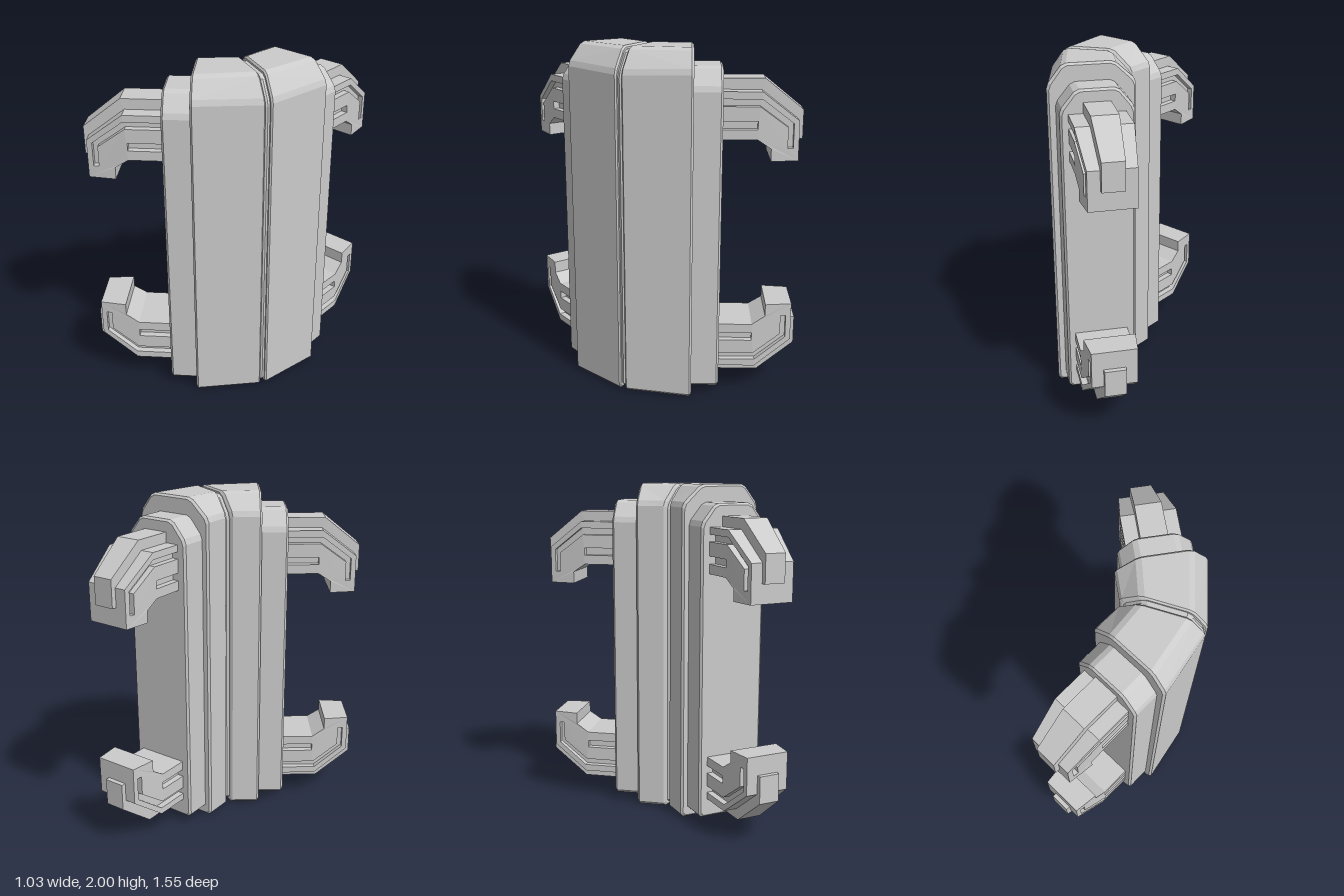
import * as THREE from 'three';

const MID = 0.275; // centre line of the straight wing in x

// Cut every corner of a closed profile back by r
function softened(points, r) {
  const out = [];
  points.forEach(([x, y], i) => {
    for (const [nx, ny] of [points.at(i - 1), points[(i + 1) % points.length]]) {
      const k = r / Math.hypot(nx - x, ny - y);
      out.push([x + (nx - x) * k, y + (ny - y) * k]);
    }
  });
  return out;
}

// Shrink a profile by d on all sides
function inset(points, d) {
  const box = new THREE.Box2().setFromPoints(points.map(([x, y]) => new THREE.Vector2(x, y)));
  const c = box.getCenter(new THREE.Vector2()), s = box.getSize(new THREE.Vector2());
  return points.map(([x, y]) => [c.x + (x - c.x) * (1 - 2 * d / s.x), c.y + (y - c.y) * (1 - 2 * d / s.y)]);
}

// Place a profile on the plane z = z0 + slope * x
const ring = (points, z0, slope = 0) => points.map(([x, y]) => [x, y, z0 + slope * x]);

// Closed solid through counter-clockwise rings that advance along +z
function loft(rings) {
  const pos = [], n = rings[0].length, last = rings.at(-1), first = rings[0];
  for (let i = 0; i + 1 < rings.length; i++) {
    const a = rings[i], b = rings[i + 1];
    for (let j = 0; j < n; j++) {
      const k = (j + 1) % n;
      pos.push(...a[j], ...a[k], ...b[k], ...a[j], ...b[k], ...b[j]);
    }
  }
  for (let j = 1; j + 1 < n; j++) {
    pos.push(...first[0], ...first[j + 1], ...first[j]);
    pos.push(...last[0], ...last[j], ...last[j + 1]);
  }
  const g = new THREE.BufferGeometry();
  g.setAttribute('position', new THREE.Float32BufferAttribute(pos, 3));
  g.computeVertexNormals();
  return g;
}

// Reflected copy with its triangles turned round again
function reflected(geometry, matrix) {
  const g = geometry.clone().applyMatrix4(matrix), p = g.attributes.position;
  const a = new THREE.Vector3(), b = new THREE.Vector3();
  for (let i = 0; i < p.count; i += 3) {
    a.fromBufferAttribute(p, i + 1);
    b.fromBufferAttribute(p, i + 2);
    p.setXYZ(i + 1, b.x, b.y, b.z);
    p.setXYZ(i + 2, a.x, a.y, a.z);
  }
  g.computeVertexNormals();
  return g;
}

// Clip part: side profile (reach, height) given a width, narrowing toward the tip
function clipPart(points, width) {
  const shape = new THREE.Shape(points.map(([d, y]) => new THREE.Vector2(d, y)));
  let g = new THREE.ExtrudeGeometry(shape, { depth: width, bevelEnabled: false });
  g.translate(0, 0, -width / 2).rotateY(Math.PI / 2);
  if (g.index) g = g.toNonIndexed();
  const p = g.attributes.position;
  for (let i = 0; i < p.count; i++) {
    const t = Math.max(0, -p.getZ(i) - 0.54) / 0.21;
    p.setX(i, MID + p.getX(i) * (1 - 0.17 * t));
  }
  g.deleteAttribute('uv');
  g.computeVertexNormals();
  return g;
}

const bar = (y0, y1) => [[0.3, y0], [0.52, y0], [0.52, y1], [0.3, y1]];

function wingParts() {
  // Main body: tall block with bevelled top edges, cut at a slant on the seam
  const end = softened([[0.03, 0.005], [0.52, 0.005], [0.52, 1.885], [0.43, 2], [0.15, 2], [0.03, 1.89]], 0.018);
  const seam = softened([[0.03, 0.005], [0.45, 0.005], [0.45, 1.875], [0.37, 2], [0.13, 2], [0.03, 1.89]], 0.018);
  const body = loft([
    ring(inset(end, 0.012), -0.175), ring(end, -0.163),
    ring(seam, -0.022, 0.5), ring(inset(seam, 0.01), -0.012, 0.5),
  ]);
  const filler = loft([ring(inset(seam, 0.02), -0.03, 0.5), ring(inset(seam, 0.02), 0.005, 0.5)]);

  // Collar: smaller stepped block behind the body
  const step = softened([[0.07, 0.055], [0.475, 0.055], [0.475, 1.79], [0.385, 1.9], [0.16, 1.9], [0.07, 1.79]], 0.018);
  const collar = loft([ring(inset(step, 0.012), -0.332), ring(step, -0.32), ring(step, -0.15)]);

  // Clip: grooved fingers, a hooked tip, a solid core and a raised centre rib
  const hook = [[0.745, 1.61], [0.745, 1.39], [0.595, 1.39], [0.595, 1.46], [0.52, 1.51]];
  const groove = [[0.52, 1.69], [0.53, 1.69], [0.685, 1.575], [0.685, 1.46],
    [0.715, 1.46], [0.715, 1.595], [0.54, 1.73], [0.52, 1.73]];
  const clip = {
    ClipTip: clipPart([[0.52, 1.77], [0.54, 1.77], ...hook, ...groove], 0.31),
    ClipCore: clipPart([[0.3, 1.765], [0.54, 1.765], ...hook, [0.3, 1.51]], 0.235),
    ClipRib: clipPart([[0.3, 1.83], [0.56, 1.83], [0.772, 1.66], [0.772, 1.5], [0.6, 1.5], [0.5, 1.6], [0.3, 1.6]], 0.15),
    ClipUpperFinger: clipPart(bar(1.73, 1.77), 0.31),
    ClipMiddleFinger: clipPart(bar(1.61, 1.69), 0.31),
    ClipLowerFinger: clipPart(bar(1.51, 1.565), 0.31),
  };

  const parts = { body, seamFiller: filler, collar };
  const flipY = new THREE.Matrix4().makeScale(1, -1, 1).setPosition(0, 1.94, 0);
  for (const [name, g] of Object.entries(clip)) {
    parts['top' + name] = g;
    parts['bottom' + name] = reflected(g, flipY);
  }
  return parts;
}

export function createModel() {
  const model = new THREE.Group();
  model.name = 'cornerConnector';
  const material = new THREE.MeshStandardMaterial({ color: 0xcccccc, flatShading: true });

  // The angled wing is the straight wing reflected across the seam plane
  const acrossSeam = new THREE.Matrix4().set(
    0.6, 0, 0.8, -0.004,
    0, 1, 0, 0,
    0.8, 0, -0.6, 0.008,
    0, 0, 0, 1);
  const straight = new THREE.Group(), angled = new THREE.Group();
  straight.name = 'straightWing';
  angled.name = 'angledWing';
  for (const [name, g] of Object.entries(wingParts())) {
    const a = new THREE.Mesh(g, material), b = new THREE.Mesh(reflected(g, acrossSeam), material);
    a.name = b.name = name;
    straight.add(a);
    angled.add(b);
  }
  model.add(straight, angled);
  return model;
}
